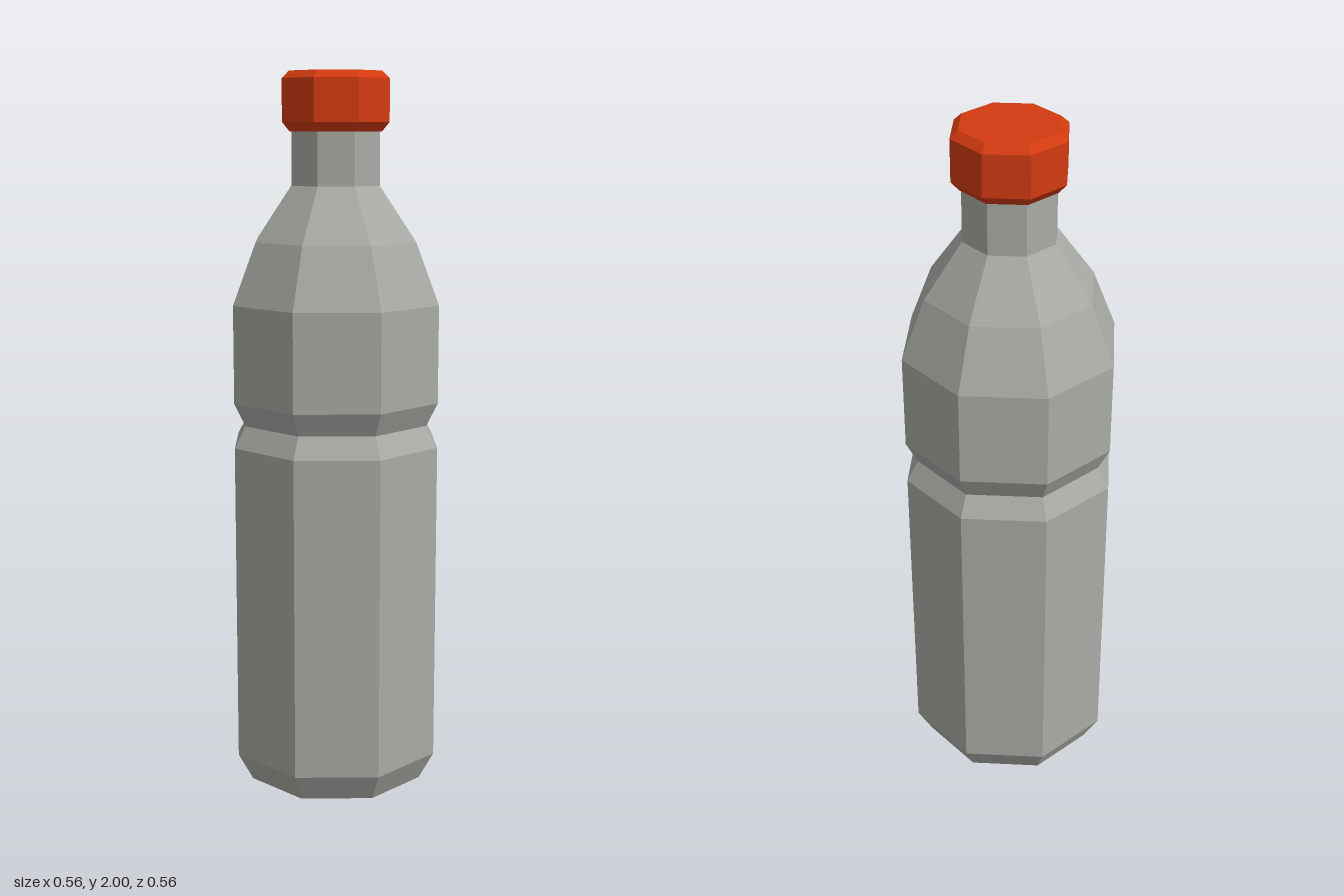
import * as THREE from 'three';

const SIDES = 8;

// Faceted octagonal solid from [half width across flats, height] points, bottom to top
function facetedLathe(name, profile, material) {
  const k = 1 / Math.cos(Math.PI / SIDES);
  const points = profile.map(([r, y]) => new THREE.Vector2(r * k, y));
  const geometry = new THREE.LatheGeometry(points, SIDES, Math.PI / SIDES).toNonIndexed();
  geometry.computeVertexNormals();
  const mesh = new THREE.Mesh(geometry, material);
  mesh.name = name;
  return mesh;
}

export function createModel() {
  const plastic = new THREE.MeshStandardMaterial({ color: 0xa8aba5, flatShading: true });
  plastic.name = 'grey plastic';
  const red = new THREE.MeshStandardMaterial({ color: 0xd23a10, flatShading: true });
  red.name = 'red cap plastic';

  const group = new THREE.Group();
  group.name = 'bottle';

  // Body: chamfered base, waist groove, sloped shoulder and neck
  group.add(facetedLathe('body', [
    [0, 0], [0.24, 0], [0.28, 0.08], [0.28, 0.98], [0.25, 1.04], [0.28, 1.105],
    [0.28, 1.375], [0.218, 1.545], [0.12, 1.695], [0.12, 1.85],
  ], plastic));

  // Screw cap with bevelled rims
  group.add(facetedLathe('cap', [
    [0, 1.84], [0.125, 1.84], [0.145, 1.865], [0.145, 1.98], [0.125, 2], [0, 2],
  ], red));

  return group;
}
